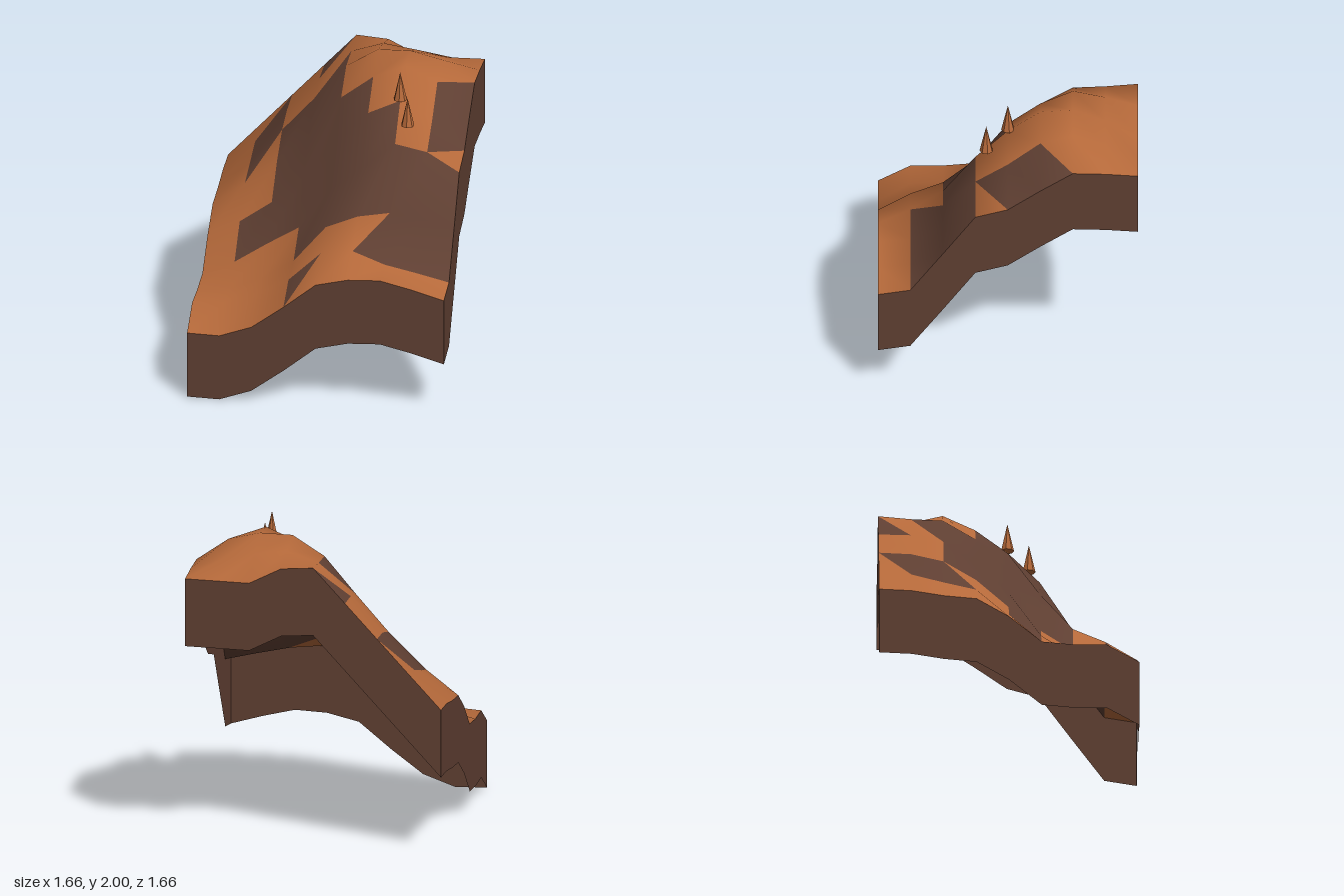
import * as THREE from 'three';

const N = 8, HALF = 0.83, STEP = (2 * HALF) / N, SKIRT = 0.445;

// Ground heights, back row (z = -HALF) first, each from -x to +x
const HEIGHTS = [
  [0.96, 1.185, 1.41, 1.635, 1.86, 1.845, 1.74, 1.745, 1.75],
  [0.95, 1.16, 1.40, 1.63, 1.84, 1.91, 1.88, 1.84, 1.765],
  [0.915, 1.105, 1.35, 1.585, 1.83, 1.96, 1.965, 1.915, 1.77],
  [0.895, 1.055, 1.22, 1.43, 1.70, 1.86, 1.95, 1.855, 1.63],
  [0.77, 0.88, 1.03, 1.23, 1.49, 1.70, 1.80, 1.685, 1.48],
  [0.595, 0.69, 0.83, 0.96, 1.25, 1.41, 1.59, 1.548, 1.42],
  [0.575, 0.595, 0.68, 0.82, 1.07, 1.16, 1.20, 1.17, 1.125],
  [0.575, 0.59, 0.665, 0.78, 0.98, 1.01, 0.93, 0.885, 0.835],
  [0.455, 0.45, 0.525, 0.68, 0.85, 0.90, 0.91, 0.86, 0.80],
];

// Rock cover per cell: . none, # whole, u back-left half, l front-right half
const ROCK = [
  '.l.u....',
  '.#.l....',
  '.u##...l',
  '..###..#',
  '.#####.u',
  '...#####',
  '.....l##',
  '...u....',
];

const point = (i, j) => [-HALF + i * STEP, HEIGHTS[j][i], -HALF + j * STEP];

// Smooth ground grid, with one geometry group per colour
function groundGeometry() {
  const positions = [], soil = [], rock = [];
  for (let j = 0; j <= N; j++) {
    for (let i = 0; i <= N; i++) positions.push(...point(i, j));
  }
  for (let j = 0; j < N; j++) {
    for (let i = 0; i < N; i++) {
      const a = j * (N + 1) + i, b = a + 1, c = a + N + 1, d = c + 1;
      const kind = ROCK[j][i];
      (kind === '#' || kind === 'u' ? rock : soil).push(a, c, b);
      (kind === '#' || kind === 'l' ? rock : soil).push(b, c, d);
    }
  }
  const geometry = new THREE.BufferGeometry();
  geometry.setAttribute('position', new THREE.Float32BufferAttribute(positions, 3));
  geometry.setIndex([...soil, ...rock]);
  geometry.addGroup(0, soil.length, 0);
  geometry.addGroup(soil.length, rock.length, 1);
  geometry.computeVertexNormals();
  return geometry;
}

// Vertical wall hanging from one border of the ground
function skirtGeometry(border) {
  const positions = [], index = [];
  border.forEach(([x, y, z], k) => {
    positions.push(x, y, z, x, y - SKIRT, z);
    if (k < border.length - 1) {
      const a = 2 * k;
      index.push(a, a + 1, a + 2, a + 2, a + 1, a + 3);
    }
  });
  const geometry = new THREE.BufferGeometry();
  geometry.setAttribute('position', new THREE.Float32BufferAttribute(positions, 3));
  geometry.setIndex(index);
  geometry.computeVertexNormals();
  return geometry;
}

export function createModel() {
  const model = new THREE.Group();
  model.name = 'hillside';

  const soil = new THREE.MeshStandardMaterial({ color: 0xb5693a, side: THREE.DoubleSide });
  soil.name = 'orange soil';
  const rock = new THREE.MeshStandardMaterial({ color: 0x5f3f32, side: THREE.DoubleSide });
  rock.name = 'brown rock';
  const foliage = new THREE.MeshStandardMaterial({ color: 0xb5693a, flatShading: true });
  foliage.name = 'orange foliage';

  const add = (name, geometry, material) => {
    const mesh = new THREE.Mesh(geometry, material);
    mesh.name = name;
    model.add(mesh);
    return mesh;
  };

  add('ground', groundGeometry(), [soil, rock]);

  // Four skirts, each running anticlockwise seen from above
  const steps = [...Array(N + 1).keys()];
  const borders = {
    frontSkirt: steps.map((k) => point(k, N)),
    leftSkirt: steps.map((k) => point(N, N - k)),
    backSkirt: steps.map((k) => point(N - k, 0)),
    rightSkirt: steps.map((k) => point(0, k)),
  };
  for (const [name, border] of Object.entries(borders)) add(name, skirtGeometry(border), rock);

  // Small cone trees near the summit
  const trees = [
    [0.415, 1.81, 0, 0.19, 0.043],
    [0.485, 1.695, 0.138, 0.19, 0.043],
  ];
  trees.forEach(([x, y, z, height, radius], k) => {
    add(`tree${k + 1}`, new THREE.ConeGeometry(radius, height, 7), foliage)
      .position.set(x, y + height / 2, z);
  });

  return model;
}
